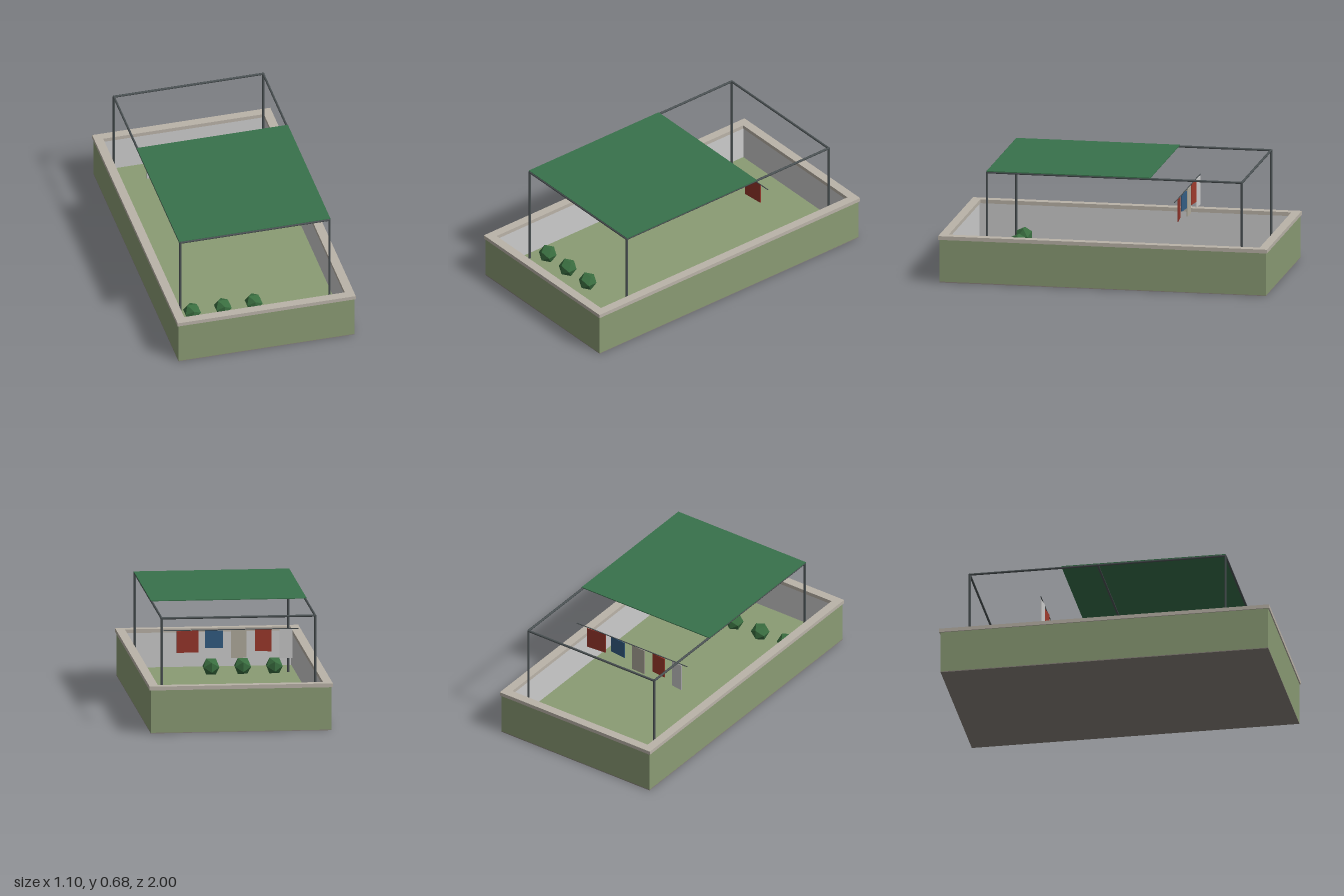
import * as THREE from 'three';

const mat = (color, extra = {}) => new THREE.MeshStandardMaterial({ color, ...extra });

export function createModel() {
  const model = new THREE.Group();
  const green = mat(0x8a9b74), stone = mat(0xbab3a8), grey = mat(0xcccccc);
  const metal = mat(0x4b5254), fabric = mat(0x38714b), leaf = mat(0x3a6e40, { flatShading: true });

  function add(name, geometry, material, x = 0, y = 0, z = 0, parent = model) {
    const mesh = new THREE.Mesh(geometry, material);
    mesh.name = name;
    mesh.position.set(x, y, z);
    parent.add(mesh);
    return mesh;
  }

  const rectangle = (path, hx, hz) =>
    path.moveTo(-hx, -hz).lineTo(hx, -hz).lineTo(hx, hz).lineTo(-hx, hz).closePath();

  // Rectangular ring lying flat, rising from y0 to y1
  function ring(name, [ox, oz], [ix, iz], y0, y1, material) {
    const shape = rectangle(new THREE.Shape(), ox, oz);
    shape.holes.push(rectangle(new THREE.Path(), ix, iz));
    const geometry = new THREE.ExtrudeGeometry(shape, { depth: y1 - y0, bevelEnabled: false });
    geometry.rotateX(-Math.PI / 2);
    return add(name, geometry, material, 0, y0, 0);
  }

  // Parapet walls, lining, coping, floor and underside
  ring('outerWall', [0.543, 0.993], [0.508, 0.958], 0.004, 0.262, green);
  ring('wallLining', [0.508, 0.958], [0.503, 0.953], 0.01, 0.262, grey);
  ring('coping', [0.55, 1], [0.496, 0.946], 0.262, 0.285, stone);
  add('floor', new THREE.BoxGeometry(1.01, 0.045, 1.91), green, 0, 0.0285, 0);
  add('underside', new THREE.BoxGeometry(1.086, 0.006, 1.986), mat(0x88817a), 0, 0.003, 0);

  // Pergola frame of thin round bars
  const frame = new THREE.Group();
  frame.name = 'pergolaFrame';
  model.add(frame);
  const up = new THREE.Vector3(0, 1, 0);
  function bar(name, from, to, radius, parent) {
    const a = new THREE.Vector3(...from), b = new THREE.Vector3(...to);
    const d = b.clone().sub(a);
    const mesh = add(name, new THREE.CylinderGeometry(radius, radius, d.length(), 8), metal, 0, 0, 0, parent);
    mesh.position.copy(a).add(b).multiplyScalar(0.5);
    mesh.quaternion.setFromUnitVectors(up, d.normalize());
  }
  const px = 0.461, zFront = 0.72, zBack = -0.83, top = 0.668, r = 0.007;
  for (const x of [-px, px]) {
    for (const z of [zFront, zBack]) bar('post', [x, 0.05, z], [x, top + 0.004, z], r, frame);
    bar('sideRail', [x, top, zBack], [x, top, zFront], r, frame);
  }
  for (const z of [zFront, (zFront + zBack) / 2, zBack]) bar('crossRail', [-px, top, z], [px, top, z], r, frame);

  // Shade cloth over the front part of the frame
  add('shadeCanopy', new THREE.BoxGeometry(0.934, 0.005, 0.995), fabric, 0, 0.6745, 0.2235);

  // Washing line with hanging laundry: left edge, right edge, bottom, yaw, colour
  const lineZ = -0.41, lineY = 0.517;
  bar('washingLine', [-0.405, lineY, lineZ], [0.405, lineY, lineZ], 0.003, model);
  const laundry = [
    [-0.368, -0.29, 0.338, -0.12, 0xcccccc],
    [-0.243, -0.145, 0.382, -0.12, 0xa03b2d],
    [-0.093, 0.0, 0.345, -0.05, 0xb1ac9e],
    [0.05, 0.157, 0.408, -0.1, 0x345e85],
    [0.197, 0.327, 0.382, 0.08, 0x93342a],
  ];
  for (const [x0, x1, bottom, yaw, color] of laundry) {
    const h = lineY - 0.004 - bottom;
    const cloth = add('hangingCloth', new THREE.BoxGeometry(x1 - x0, h, 0.005), mat(color),
      (x0 + x1) / 2, bottom + h / 2, lineZ);
    cloth.rotation.y = yaw;
  }

  // Row of small shrubs beneath the canopy
  for (const x of [-0.37, -0.18, 0.01])
    add('shrub', new THREE.IcosahedronGeometry(0.056, 0), leaf, x, 0.103, 0.655);

  return model;
}
